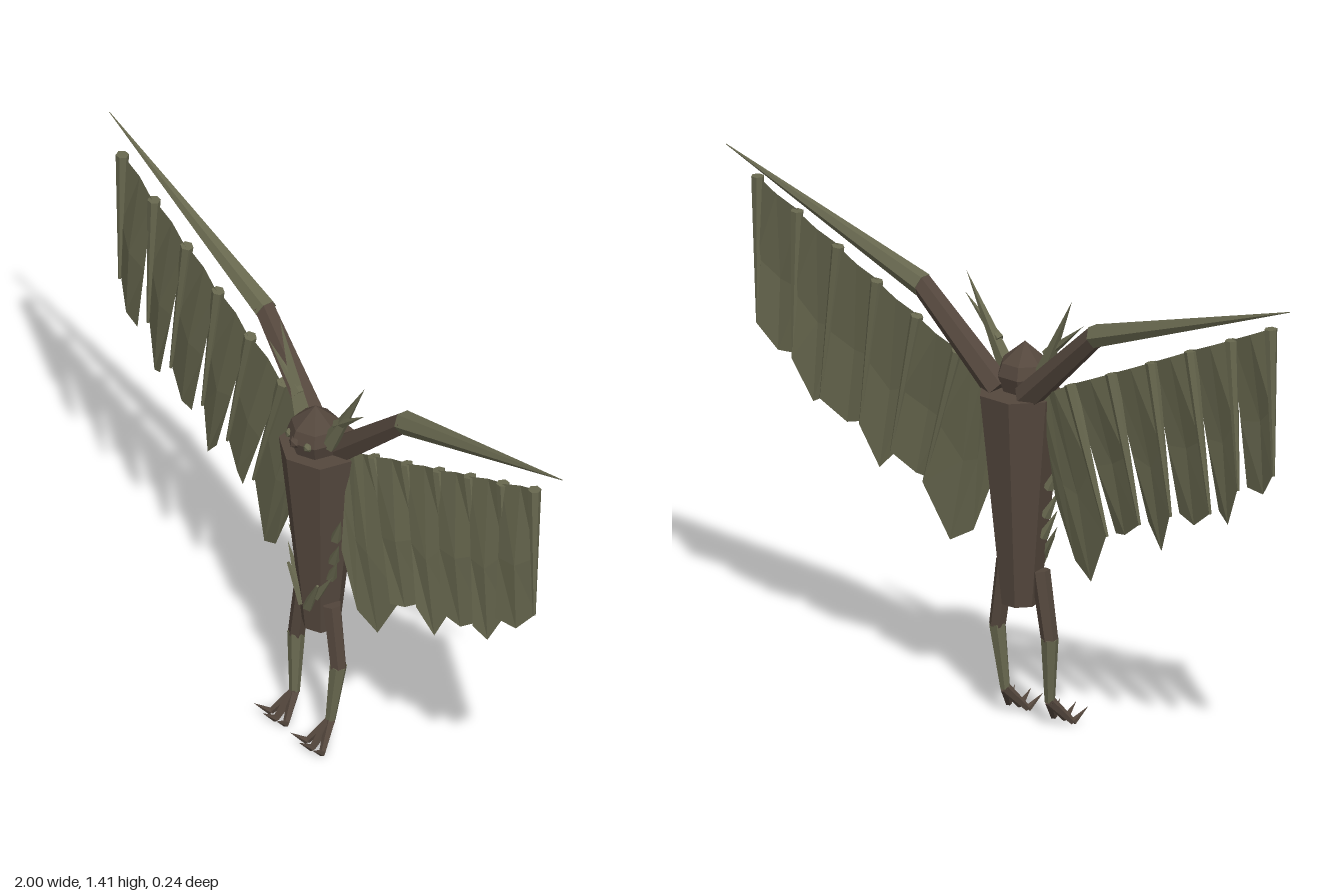
import * as THREE from 'three';

const mat = (name, color, side = THREE.FrontSide) => {
  const m = new THREE.MeshStandardMaterial({ color, side });
  m.name = name;
  m.flatShading = true;
  return m;
};

export function createModel() {
  const root = new THREE.Group();
  root.name = 'wingedCreature';
  const brown = mat('darkBark', 0x54473d);
  const olive = mat('oliveLeaf', 0x68684f, THREE.DoubleSide);

  const add = (parent, name, geo, material) => {
    const m = new THREE.Mesh(geo, material);
    m.name = name;
    parent.add(m);
    return m;
  };

  // Tapered faceted limb running from point a (radius ra) to point b (radius rb)
  const limb = (parent, name, a, b, ra, rb, material, sides = 6) => {
    const va = new THREE.Vector3(...a), vb = new THREE.Vector3(...b);
    const dir = vb.clone().sub(va);
    const m = add(parent, name, new THREE.CylinderGeometry(rb, ra, dir.length(), sides), material);
    m.position.copy(va).add(vb).multiplyScalar(0.5);
    m.quaternion.setFromUnitVectors(new THREE.Vector3(0, 1, 0), dir.normalize());
    return m;
  };

  // Trunk: seven-sided taper with an edge at the front
  const trunk = add(root, 'trunk', new THREE.CylinderGeometry(0.116, 0.053, 0.595, 7), brown);
  trunk.position.set(0, 0.6425, -0.016);

  // Head: pointed low dome with a blunt snout
  const profile = [[0, 0.93], [0.06, 0.935], [0.078, 0.985], [0.066, 1.02], [0, 1.075]];
  const head = add(root, 'head',
    new THREE.LatheGeometry(profile.map(p => new THREE.Vector2(...p)), 7), brown);
  head.position.z = 0.003;
  const snout = add(root, 'snout', new THREE.IcosahedronGeometry(0.02, 0), brown);
  snout.position.set(0, 0.985, 0.068);

  // Wing rod tops, feather boundaries along the hem, and feather tips
  const tops = [[0.91, 1.335], [0.77, 1.27], [0.625, 1.205], [0.487, 1.14], [0.345, 1.075], [0.2, 1.01], [0.09, 0.95]];
  const hem = [[0.915, 0.92], [0.79, 0.85], [0.69, 0.76], [0.55, 0.72], [0.44, 0.67], [0.325, 0.61], [0.11, 0.66]];
  const tips = [[0.86, 0.85], [0.735, 0.735], [0.615, 0.705], [0.5, 0.605], [0.37, 0.62], [0.25, 0.46]];

  // Folded feather: the outer edge lies back, the inner edge swings forward over the next rod
  const featherGeo = (i, s) => {
    const last = i === tips.length - 1;
    const mix = (p, q, t) => p.map((v, k) => v + (q[k] - v) * t);
    const top = [[...tops[i], -0.04], [...mix(tops[i], tops[i + 1], 0.5), -0.045], [...tops[i + 1], -0.035]];
    const low = [[...hem[i], -0.04], [...tips[i], -0.015], [...hem[i + 1], 0]];
    if (last) {
      top.splice(2, 0, [...mix(tops[i], tops[i + 1], 0.75), -0.035]);
      low.splice(2, 0, [0.18, 0.5, 0]);
    }
    const mid = top.map((p, k) => mix(p, low[k], 0.55));
    mid[1][2] += 0.012;
    const rows = [top, mid, low], n = top.length, pos = [];
    const push = (...pts) => pts.forEach(p => pos.push(p[0] * s, p[1], p[2]));
    for (let r = 0; r < 2; r++) for (let c = 0; c < n - 1; c++) {
      const a = rows[r][c], b = rows[r][c + 1], d = rows[r + 1][c], e = rows[r + 1][c + 1];
      if (s > 0) push(a, b, d, b, e, d);
      else push(a, d, b, b, d, e);
    }
    const g = new THREE.BufferGeometry();
    g.setAttribute('position', new THREE.Float32BufferAttribute(pos, 3));
    g.computeVertexNormals();
    return g;
  };

  for (const s of [1, -1]) {
    const side = new THREE.Group();
    side.name = s > 0 ? 'leftSide' : 'rightSide';
    root.add(side);
    const L = (name, a, b, ra, rb, material, sides) =>
      limb(side, name, [a[0] * s, a[1], a[2]], [b[0] * s, b[1], b[2]], ra, rb, material, sides);

    // Eye and branching horns
    const eye = add(side, 'eye', new THREE.IcosahedronGeometry(0.014, 0), olive);
    eye.position.set(0.04 * s, 0.985, 0.058);
    L('horn', [0.055, 0.98, 0], [0.187, 1.235, -0.02], 0.026, 0, olive, 5);
    L('hornBranch', [0.085, 1.06, -0.005], [0.21, 1.165, 0], 0.016, 0, olive, 5);

    // Wing arm
    L('upperArm', [0.05, 0.94, -0.045], [0.315, 1.185, -0.062], 0.04, 0.03, brown);
    L('forearmSpike', [0.305, 1.177, -0.062], [1, 1.41, -0.065], 0.033, 0.001, olive);

    // Feathers, each hung from a tapered rod
    for (let i = 0; i < tips.length; i++) {
      add(side, 'feather', featherGeo(i, s), olive);
      L('featherRod', [...tops[i], -0.04], [...hem[i], -0.035], 0.018, 0.004, olive, 6);
    }

    // Thorns down the flank
    const thorns = [[0.085, 0.68, 0.125, 0.77], [0.075, 0.6, 0.115, 0.68], [0.065, 0.54, 0.108, 0.62]];
    for (const [x0, y0, x1, y1] of thorns)
      L('flankThorn', [x0, y0, 0], [x1, y1, 0.012], 0.016, 0, olive, 5);

    // Small folded front twig and its branch
    L('frontTwig', [0.01, 0.425, 0.035], [0.065, 0.53, 0.045], 0.017, 0.004, olive, 5);
    L('twigBranch', [0.04, 0.475, 0.03], [0.1, 0.57, 0.02], 0.014, 0, olive, 5);

    // Leg
    L('thigh', [0.062, 0.445, -0.005], [0.093, 0.255, -0.003], 0.026, 0.023, brown);
    L('shin', [0.093, 0.26, -0.003], [0.079, 0.075, 0.013], 0.024, 0.014, olive);

    // Foot: three toes ending in upturned claws
    for (const t of [-1, 0, 1]) {
      const knuckle = [0.08 + t * 0.034, 0.011, 0.074 - Math.abs(t) * 0.008];
      L('toe', [0.079, 0.078, 0.012], knuckle, 0.015, 0.009, brown, 5);
      L('claw', knuckle, [0.08 + t * 0.05, 0.048, 0.118 - Math.abs(t) * 0.008], 0.01, 0, brown, 5);
    }
  }
  return root;
}
